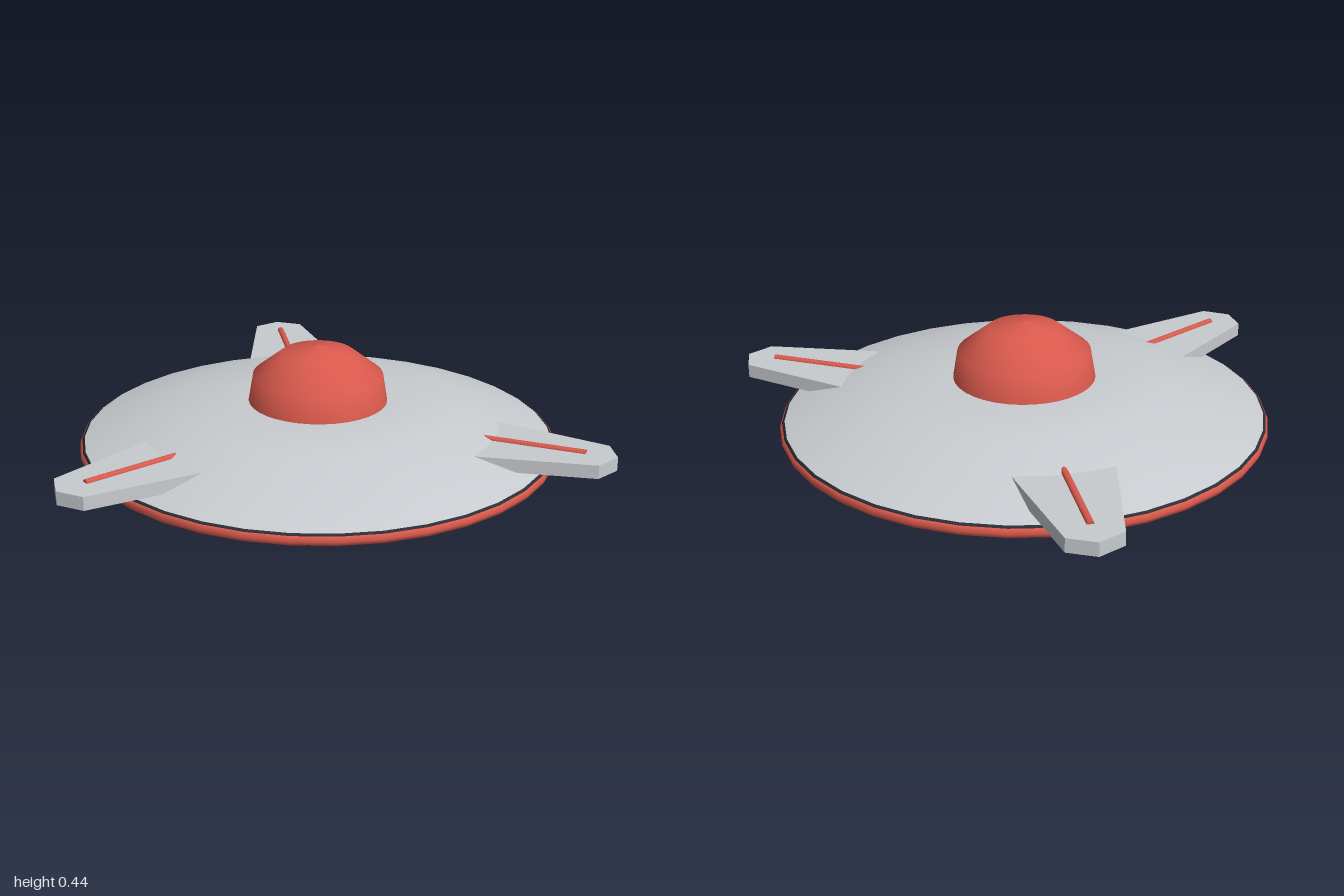
import * as THREE from 'three';

const SEGMENTS = 36;
const CENTRE_Z = -0.12;

const lightGrey = new THREE.MeshStandardMaterial({ name: 'light grey', color: 0xc8cbcf });
const darkGrey = new THREE.MeshStandardMaterial({ name: 'dark grey', color: 0x2e3138 });
const red = new THREE.MeshStandardMaterial({ name: 'red', color: 0xd9594c });

function addMesh(parent, name, geometry, material) {
  const mesh = new THREE.Mesh(geometry, material);
  mesh.name = name;
  parent.add(mesh);
  return mesh;
}

// Turned part; the profile runs from bottom to top as [radius, height]
function turned(profile) {
  const points = profile.map(([r, y]) => new THREE.Vector2(r, y));
  return new THREE.LatheGeometry(points, SEGMENTS, Math.PI / SEGMENTS);
}

// One fin pointing to +z, with its red spine
function createFin() {
  const fin = new THREE.Group();
  const outline = new THREE.Shape();
  outline.moveTo(-0.19, 0.57);
  outline.lineTo(0.19, 0.57);
  outline.lineTo(0.095, 1.07);
  outline.lineTo(0, 1.117);
  outline.lineTo(-0.095, 1.07);
  outline.closePath();
  const plate = new THREE.ExtrudeGeometry(outline, { depth: 0.05, bevelEnabled: false });
  plate.rotateX(Math.PI / 2).translate(0, 0.166, 0);
  addMesh(fin, 'finPlate', plate, lightGrey);

  const spine = new THREE.CylinderGeometry(0.013, 0.013, 0.37, 10);
  spine.rotateX(Math.PI / 2).translate(0, 0.165, 0.82);
  addMesh(fin, 'finSpine', spine, red);
  return fin;
}

export function createModel() {
  const saucer = new THREE.Group();
  saucer.name = 'saucer';
  saucer.position.z = CENTRE_Z;

  // Hull: flat belly, dark lower flank, pale upper shell
  addMesh(saucer, 'belly', turned([[0, 0], [0.747, 0]]), lightGrey);
  addMesh(saucer, 'lowerHull', turned([[0.747, 0], [0.875, 0.055], [0.877, 0.09], [0.864, 0.097]]), darkGrey);
  addMesh(saucer, 'upperHull', turned([[0.868, 0.096], [0.53, 0.217], [0.26, 0.228], [0, 0.23]]), lightGrey);

  // Red band around the rim
  const band = new THREE.TorusGeometry(0.864, 0.022, 8, SEGMENTS);
  band.rotateX(Math.PI / 2).rotateY(Math.PI / SEGMENTS).translate(0, 0.073, 0);
  addMesh(saucer, 'rimBand', band, red);

  // Cockpit dome
  addMesh(saucer, 'dome', turned([[0.26, 0.215], [0.241, 0.327], [0.132, 0.412], [0, 0.438]]), red);

  // Three fins, evenly spaced
  for (let i = 0; i < 3; i++) {
    const fin = createFin();
    fin.name = ['frontFin', 'leftFin', 'rightFin'][i];
    fin.rotation.y = (i * 2 * Math.PI) / 3;
    saucer.add(fin);
  }

  const model = new THREE.Group();
  model.name = 'flyingSaucer';
  model.add(saucer);
  return model;
}
